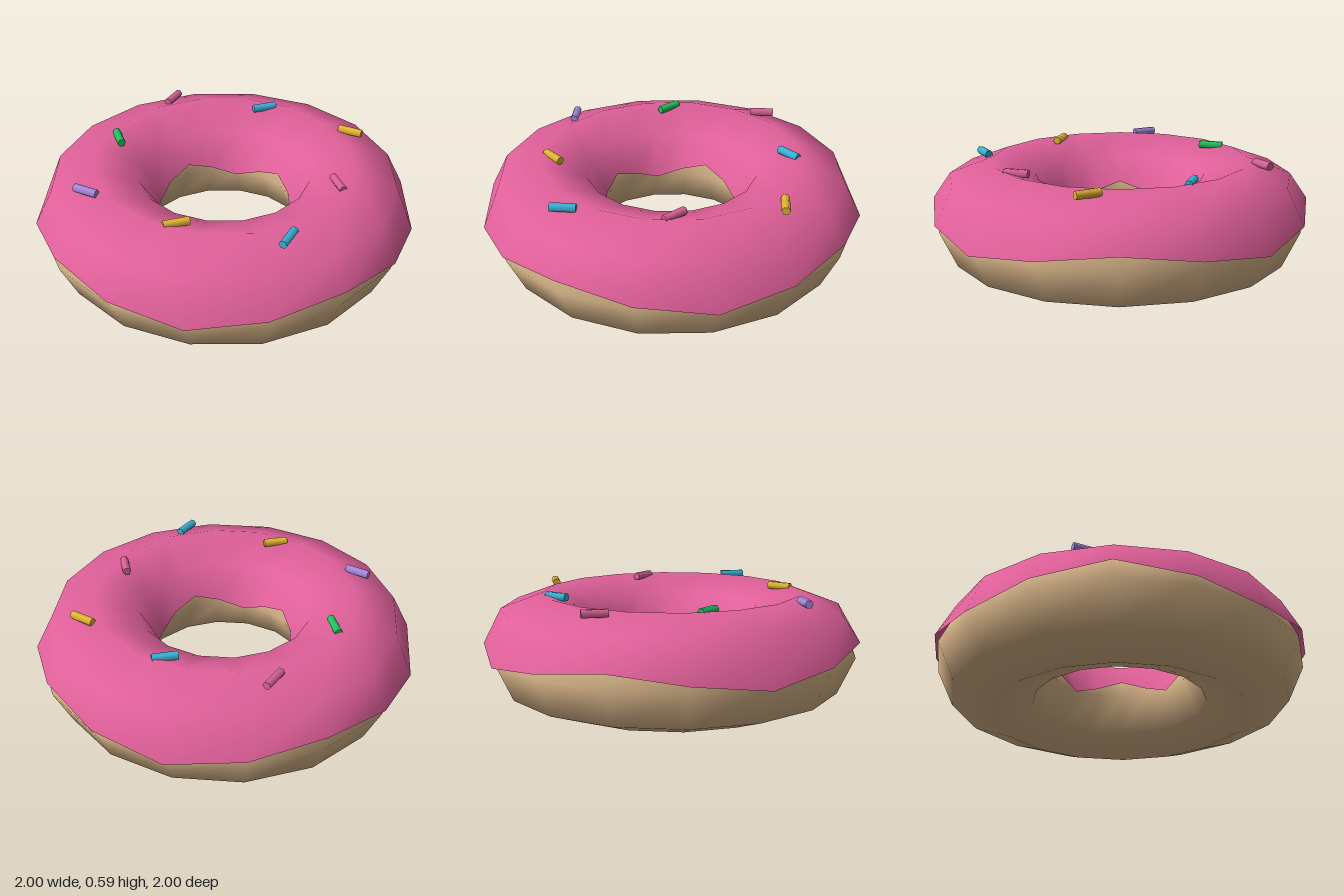
import * as THREE from 'three';

const SEGMENTS = 16; // sides around the ring
const SIDES = 8; // sides of a full tube section

const material = (name, color, side = THREE.FrontSide) => {
  const m = new THREE.MeshStandardMaterial({ color, side });
  m.name = name;
  return m;
};

// Smooth ring skin: point(theta, j) gives [radius, height] of section point j.
function ringGeometry(point, count, closed) {
  const positions = [], index = [];
  for (let i = 0; i < SEGMENTS; i++) {
    const theta = (i / SEGMENTS) * Math.PI * 2;
    for (let j = 0; j < count; j++) {
      const [radius, y] = point(theta, j);
      positions.push(radius * Math.cos(theta), y, radius * Math.sin(theta));
    }
    const next = (i + 1) % SEGMENTS;
    for (let j = 0; j < (closed ? count : count - 1); j++) {
      const k = (j + 1) % count;
      const a = i * count + j, b = i * count + k;
      const c = next * count + j, d = next * count + k;
      index.push(a, b, c, b, d, c);
    }
  }
  const geometry = new THREE.BufferGeometry();
  geometry.setAttribute('position', new THREE.Float32BufferAttribute(positions, 3));
  geometry.setIndex(index);
  geometry.computeVertexNormals();
  return geometry;
}

export function createModel() {
  const group = new THREE.Group();
  group.name = 'donut';

  const add = (name, geometry, mat) => {
    const mesh = new THREE.Mesh(geometry, mat);
    mesh.name = name;
    group.add(mesh);
    return mesh;
  };

  // Dough: slightly flattened full ring
  const dough = ringGeometry((theta, j) => {
    const phi = (j / SIDES) * Math.PI * 2;
    return [0.676 + 0.304 * Math.cos(phi), 0.273 + 0.273 * Math.sin(phi)];
  }, SIDES, true);
  add('dough', dough, material('dough tan', 0xddb98c));

  // Icing: open upper half shell with a wavy rim on both sides
  const last = SIDES / 2;
  const icing = ringGeometry((theta, j) => {
    const phi = (j / last) * Math.PI;
    const rim = j === 0 || j === last;
    const y = rim ? 0.307 - 0.048 * Math.sin(4 * theta) : 0.287 + 0.289 * Math.sin(phi);
    return [0.677 + 0.322 * Math.cos(phi), y];
  }, last + 1, false);
  add('icing', icing, material('icing pink', 0xe0609a, THREE.DoubleSide));

  // Sprinkles: short six-sided rods lying on the icing
  const rod = new THREE.CylinderGeometry(0.022, 0.022, 0.13, 6).rotateZ(Math.PI / 2);
  const pink = material('sprinkle pink', 0xdc6496);
  const blue = material('sprinkle blue', 0x3cb4dc);
  const green = material('sprinkle green', 0x22c55e);
  const yellow = material('sprinkle yellow', 0xe6b832);
  const purple = material('sprinkle purple', 0xa78bdf);
  [
    // x, z, heading in degrees, colour
    [-0.15, -0.735, -51, pink],
    [0.34, -0.515, -6, blue],
    [-0.512, -0.342, 84, green],
    [0.735, -0.15, 39, yellow],
    [-0.735, 0.15, 39, purple],
    [0.512, 0.342, 84, pink],
    [-0.34, 0.515, -6, yellow],
    [0.15, 0.735, -51, blue],
  ].forEach(([x, z, heading, mat], i) => {
    const sprinkle = add(`sprinkle${i + 1}`, rod, mat);
    sprinkle.position.set(x, 0.571, z);
    sprinkle.rotation.y = -THREE.MathUtils.degToRad(heading);
  });

  return group;
}
